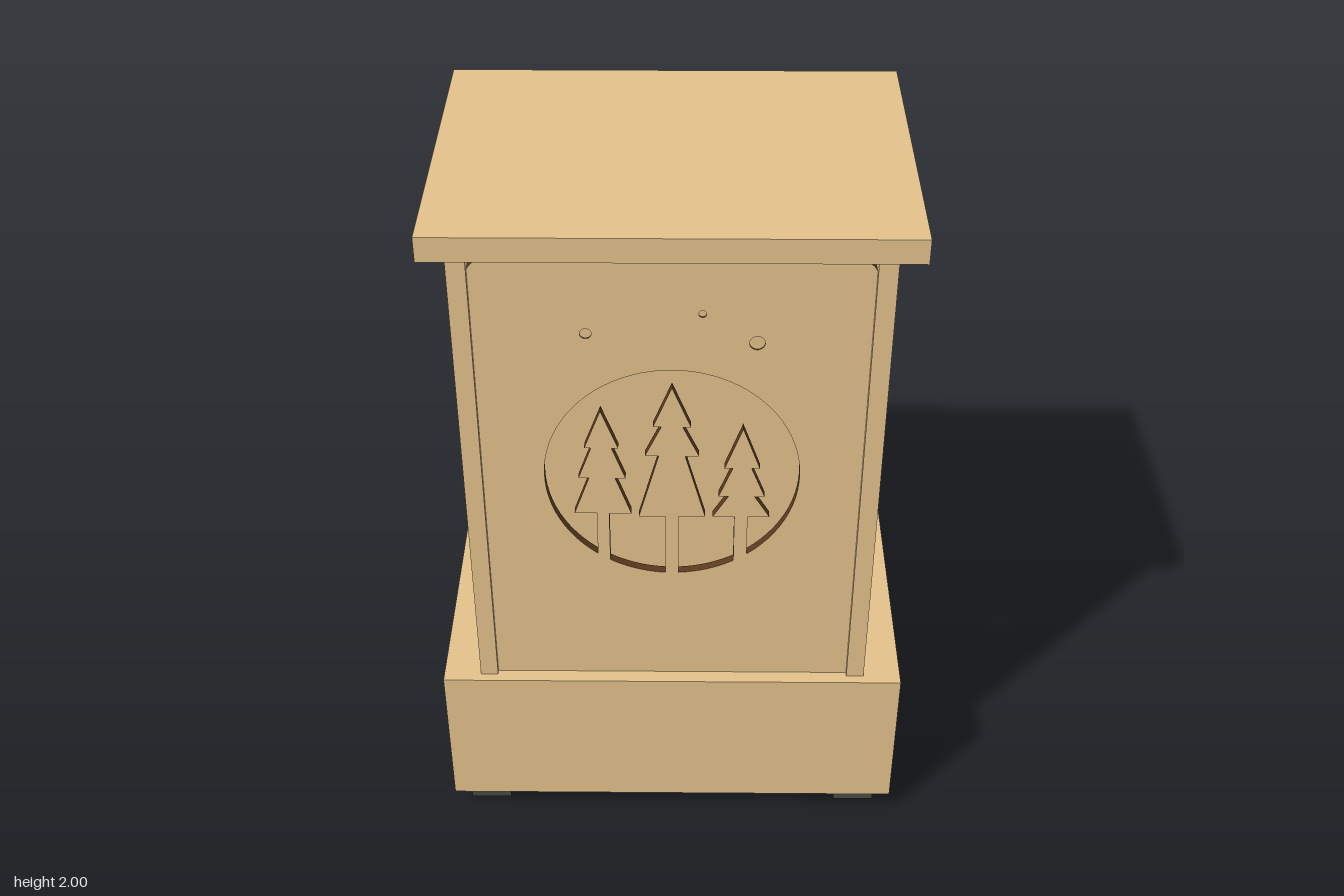
import * as THREE from 'three';

export function createModel() {
  const model = new THREE.Group();
  const makeMaterial = (name, color) => {
    const material = new THREE.MeshStandardMaterial({ color });
    material.name = name;
    return material;
  };
  const wood = makeMaterial('wood', 0xe2c18a);
  const burnt = makeMaterial('burnt edge', 0x5c3a1e);
  const rubber = makeMaterial('dark rubber', 0x454b42);
  const sheetWood = makeMaterial('wood sheet', 0xe2c18a);
  sheetWood.side = THREE.DoubleSide;

  const add = (name, geometry, material, x = 0, y = 0, z = 0) => {
    const mesh = new THREE.Mesh(geometry, material);
    mesh.name = name;
    mesh.position.set(x, y, z);
    model.add(mesh);
    return mesh;
  };
  const box = (name, w, h, d, x, y, z, material = wood) =>
    add(name, new THREE.BoxGeometry(w, h, d), material, x, y, z);

  const bottom = 0.54, top = 1.931;
  const height = top - bottom, middle = (top + bottom) / 2;

  // Plinth, roof board and inner box
  box('base', 1.322, 0.47, 0.974, 0, 0.305, 0);
  box('roof', 1.252, 2 - top, 0.94, 0, (2 + top) / 2, 0);
  box('innerBox', 0.89, height, 0.57, 0, middle, 0);

  // Corner posts and feet
  for (const sx of [-1, 1]) {
    for (const sz of [-1, 1]) {
      box('cornerPost', 0.05, height, 0.05, sx * 0.53, middle, sz * 0.435);
      box('foot', 0.12, 0.07, 0.12, sx * 0.557, 0.035, sz * 0.382, rubber);
    }
  }

  // Front panel with rounded top corners
  const front = new THREE.Shape();
  front.moveTo(-0.505, bottom);
  front.lineTo(0.505, bottom);
  front.lineTo(0.505, 1.897);
  front.quadraticCurveTo(0.49, 1.926, 0.45, top);
  front.lineTo(-0.45, top);
  front.quadraticCurveTo(-0.49, 1.926, -0.505, 1.897);
  front.closePath();

  // Round window: its outline runs up and around each tree, then follows the rim
  const R = 0.34, cy = 1.26;
  const trees = [ // centre x, half trunk, then [half width, y] from the trunk to the tip
    [-0.187, 0.017, [[0.077, 1.13], [0.035, 1.25], [0.063, 1.25], [0.027, 1.35], [0.045, 1.35]], 1.47],
    [0, 0.018, [[0.09, 1.12], [0.035, 1.325], [0.072, 1.325], [0.028, 1.42], [0.05, 1.42]], 1.545],
    [0.187, 0.018, [[0.077, 1.12], [0.035, 1.19], [0.062, 1.19], [0.025, 1.285], [0.047, 1.285]], 1.415],
  ];
  const rimAngle = (x) => -Math.acos(x / R);
  const points = [];
  const arc = (a0, a1, n) => {
    for (let i = 0; i <= n; i++) {
      const a = a0 + ((a1 - a0) * i) / n;
      points.push(new THREE.Vector2(R * Math.cos(a), cy + R * Math.sin(a)));
    }
  };
  trees.forEach(([x, trunk, tiers, tip], i) => {
    const side = [[trunk, tiers[0][1]], ...tiers];
    side.forEach(([w, y]) => points.push(new THREE.Vector2(x - w, y)));
    points.push(new THREE.Vector2(x, tip));
    [...side].reverse().forEach(([w, y]) => points.push(new THREE.Vector2(x + w, y)));
    const next = trees[i + 1];
    if (next) arc(rimAngle(x + trunk), rimAngle(next[0] - next[1]), 10);
    else arc(rimAngle(x + trunk), Math.PI * 2 + rimAngle(trees[0][0] - trees[0][1]), 64);
  });
  front.holes.push(new THREE.Path(points));

  // Small shallow dots above the window
  const frontZ = 0.445;
  for (const [x, y, r] of [[-0.218, 1.71, 0.015], [0.077, 1.77, 0.01], [0.216, 1.684, 0.02]]) {
    front.holes.push(new THREE.Path().absarc(x, y, r, 0, Math.PI * 2, true));
    add('dot', new THREE.CircleGeometry(r, 32), wood, x, y, frontZ - 0.004);
  }

  // Thick panels have wooden faces and burnt cut edges
  const panel = (name, shape, x, z) =>
    add(name, new THREE.ExtrudeGeometry(shape, { depth: 0.025, bevelEnabled: false, curveSegments: 24 }),
      [wood, burnt], x, 0, z);
  panel('frontPanel', front, 0, frontZ - 0.025);

  // Side panels with three tall oval slots; the left one is a thin sheet set deeper
  const sideShape = new THREE.Shape();
  sideShape.moveTo(-0.41, bottom);
  sideShape.lineTo(0.41, bottom);
  sideShape.lineTo(0.41, top);
  sideShape.lineTo(-0.41, top);
  sideShape.closePath();
  for (const z of [-0.217, 0, 0.217]) {
    sideShape.holes.push(new THREE.Path().absellipse(z, 1.324, 0.031, 0.392, 0, Math.PI * 2, true));
  }
  panel('rightPanel', sideShape, -0.505, 0).rotation.y = -Math.PI / 2;
  add('leftPanel', new THREE.ShapeGeometry(sideShape, 24), sheetWood, 0.505, 0, 0).rotation.y = Math.PI / 2;

  // Burnt strips lining the left recess
  for (const s of [-1, 1]) {
    box('leftRecessEdge', 0.024, height, 0.001, 0.518, middle, s * 0.4095, burnt);
  }

  // Burnt strips above and below the open back
  for (const y of [bottom, top]) {
    box('backOpeningEdge', 1.01, 0.002, 0.015, 0, y, -0.432, burnt);
  }

  return model;
}
